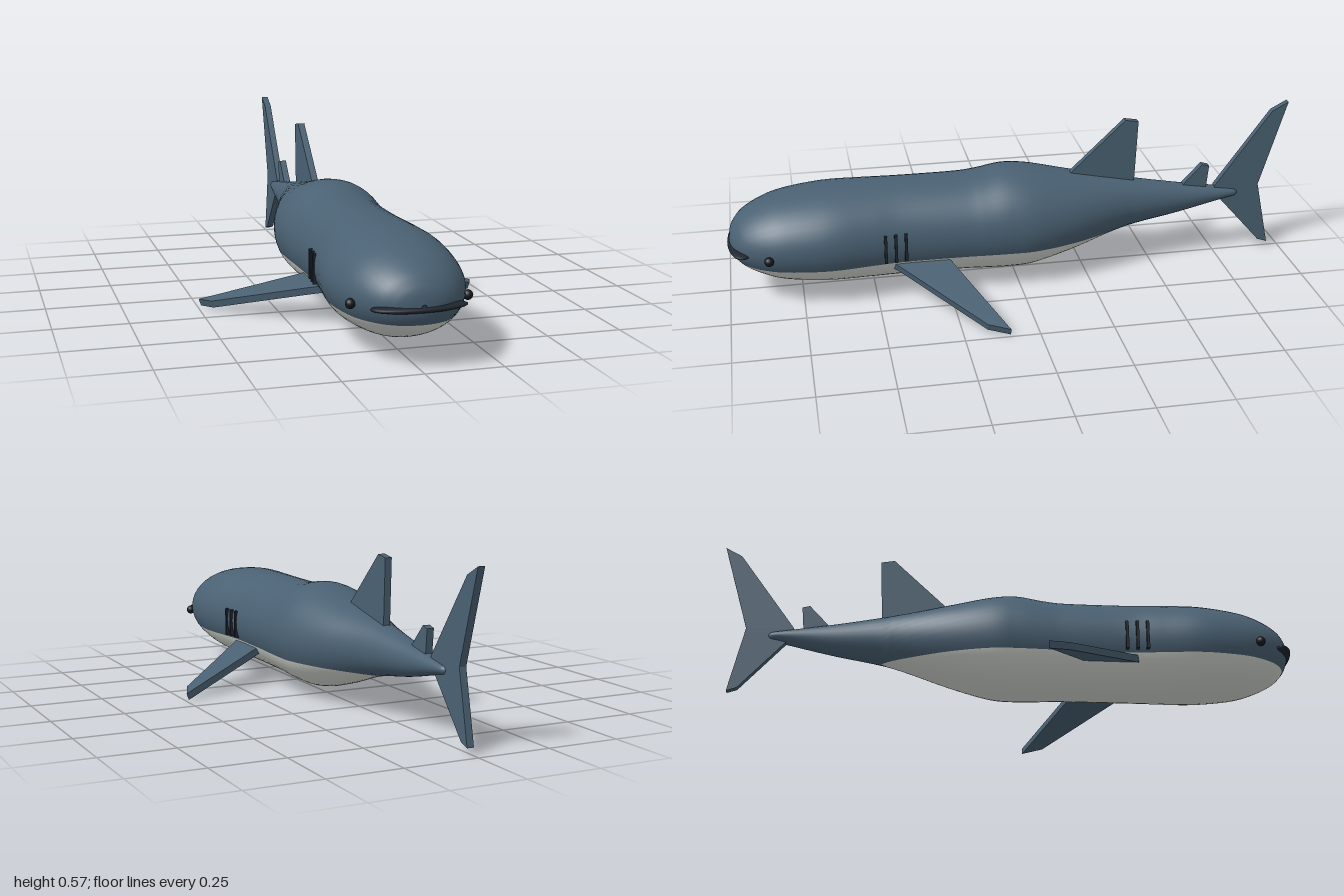
import * as THREE from 'three';

const material = (name, color) => {
  const m = new THREE.MeshStandardMaterial({ color });
  m.name = name;
  return m;
};

// Body stations from nose to tail: z, top y, bottom y, half width
const STATIONS = [
  [0.99, 0.206, 0.194, 0.008], [0.984, 0.24, 0.165, 0.05], [0.97, 0.266, 0.14, 0.088],
  [0.94, 0.297, 0.112, 0.128], [0.88, 0.33, 0.082, 0.168], [0.8, 0.355, 0.058, 0.195],
  [0.66, 0.373, 0.042, 0.21], [0.52, 0.376, 0.038, 0.194], [0.4, 0.376, 0.036, 0.181],
  [0.2, 0.376, 0.035, 0.183], [0.12, 0.383, 0.032, 0.187], [0.03, 0.397, 0.029, 0.191],
  [-0.06, 0.389, 0.036, 0.188], [-0.2, 0.358, 0.073, 0.155], [-0.4, 0.318, 0.134, 0.088],
  [-0.6, 0.282, 0.17, 0.05], [-0.78, 0.253, 0.21, 0.028], [-0.82, 0.245, 0.218, 0.018],
  [-0.83, 0.234, 0.23, 0.002],
];
const BELLY_LINE = 0.14;

// Lofted oval rings; every ring has a vertex on the belly line so the colours split cleanly
function bodyGeometry() {
  const spline = k => new THREE.SplineCurve(STATIONS.map(s => new THREE.Vector2(s[0], s[k])));
  const [top, bottom, width] = [1, 2, 3].map(spline);
  const rings = 108, back = 14, belly = 9, cols = 2 * (back + belly);
  const position = [], backIndex = [], bellyIndex = [];

  for (let i = 0; i <= rings; i++) {
    const t = i / rings;
    const hi = top.getPoint(t), lo = bottom.getPoint(t).y, w = width.getPoint(t).y;
    const yc = (hi.y + lo) / 2, ry = (hi.y - lo) / 2;
    const split = Math.acos(THREE.MathUtils.clamp((BELLY_LINE - yc) / ry, -1, 1));
    for (let j = 0; j < cols; j++) {
      const k = Math.min(j, cols - j);
      const a = k <= back ? split * k / back : split + (Math.PI - split) * (k - back) / belly;
      const side = j <= cols / 2 ? 1 : -1;
      position.push(side * w * Math.sin(a), yc + ry * Math.cos(a), hi.x);
    }
  }
  for (let i = 0; i < rings; i++) {
    for (let j = 0; j < cols; j++) {
      const a = i * cols + j, b = i * cols + (j + 1) % cols;
      const list = j >= back && j < back + 2 * belly ? bellyIndex : backIndex;
      list.push(a, b, a + cols, b, b + cols, a + cols);
    }
  }
  const geometry = new THREE.BufferGeometry();
  geometry.setAttribute('position', new THREE.Float32BufferAttribute(position, 3));
  geometry.setIndex([...backIndex, ...bellyIndex]);
  geometry.addGroup(0, backIndex.length, 0);
  geometry.addGroup(backIndex.length, bellyIndex.length, 1);
  geometry.computeVertexNormals();
  return geometry;
}

// Flat plate with the given outline, centred on its thickness
function plate(points, depth = 0.024) {
  const shape = new THREE.Shape(points.map(p => new THREE.Vector2(...p)));
  return new THREE.ExtrudeGeometry(shape, { depth, bevelEnabled: false }).translate(0, 0, -depth / 2);
}

export function createModel() {
  const model = new THREE.Group();
  model.name = 'whaleShark';
  const skin = material('slate blue skin', 0x4a6173);
  const pale = material('pale belly', 0xd9dcd6);
  const dark = material('dark mouth and gills', 0x20262e);
  const black = material('eye black', 0x15181d);

  const add = (name, geometry, mat, x = 0, y = 0, z = 0) => {
    const mesh = new THREE.Mesh(geometry, mat);
    mesh.name = name;
    mesh.position.set(x, y, z);
    model.add(mesh);
    return mesh;
  };

  add('body', bodyGeometry(), [skin, pale]);

  // Wide flat mouth around the snout
  add('mouth', new THREE.SphereGeometry(1, 32, 16).scale(0.15, 0.015, 0.05), dark, 0, 0.19, 0.947);

  // Upright fins, outlined as [z, y]
  const upright = {
    dorsalFin: [[-0.2, 0.35], [-0.4, 0.54], [-0.447, 0.532], [-0.437, 0.28]],
    rearDorsalFin: [[-0.61, 0.265], [-0.69, 0.35], [-0.716, 0.343], [-0.707, 0.25]],
    tailFin: [[-0.74, 0.262], [-0.94, 0.537], [-0.998, 0.568], [-0.905, 0.257],
      [-0.955, 0.022], [-0.92, 0.034], [-0.755, 0.22]],
  };
  for (const [name, points] of Object.entries(upright)) {
    add(name, plate(points).rotateY(-Math.PI / 2), skin);
  }

  for (const side of [1, -1]) {
    const label = side > 0 ? 'left' : 'right';

    // Swept pectoral fin, outlined as [x, z] and drooping outwards
    const outline = [[-0.03, 0.455], [0.02, 0.41], [0.305, 0.17], [0.336, 0.097], [0.02, 0.235], [-0.03, 0.257]];
    const fin = add(label + 'PectoralFin',
      plate(outline.map(([x, z]) => [side * x, z])).rotateX(Math.PI / 2), skin, side * 0.17, 0.118, 0);
    fin.rotation.z = -side * 0.315;

    add(label + 'Eye', new THREE.SphereGeometry(0.016, 16, 12), black, side * 0.184, 0.19, 0.86);

    // Gill slits
    [0.4, 0.435, 0.47].forEach((z, i) => {
      add(label + 'Gill' + (i + 1), new THREE.BoxGeometry(0.024, 0.1, 0.01), dark, side * (0.174 + i * 0.003), 0.2, z);
    });
  }
  return model;
}
